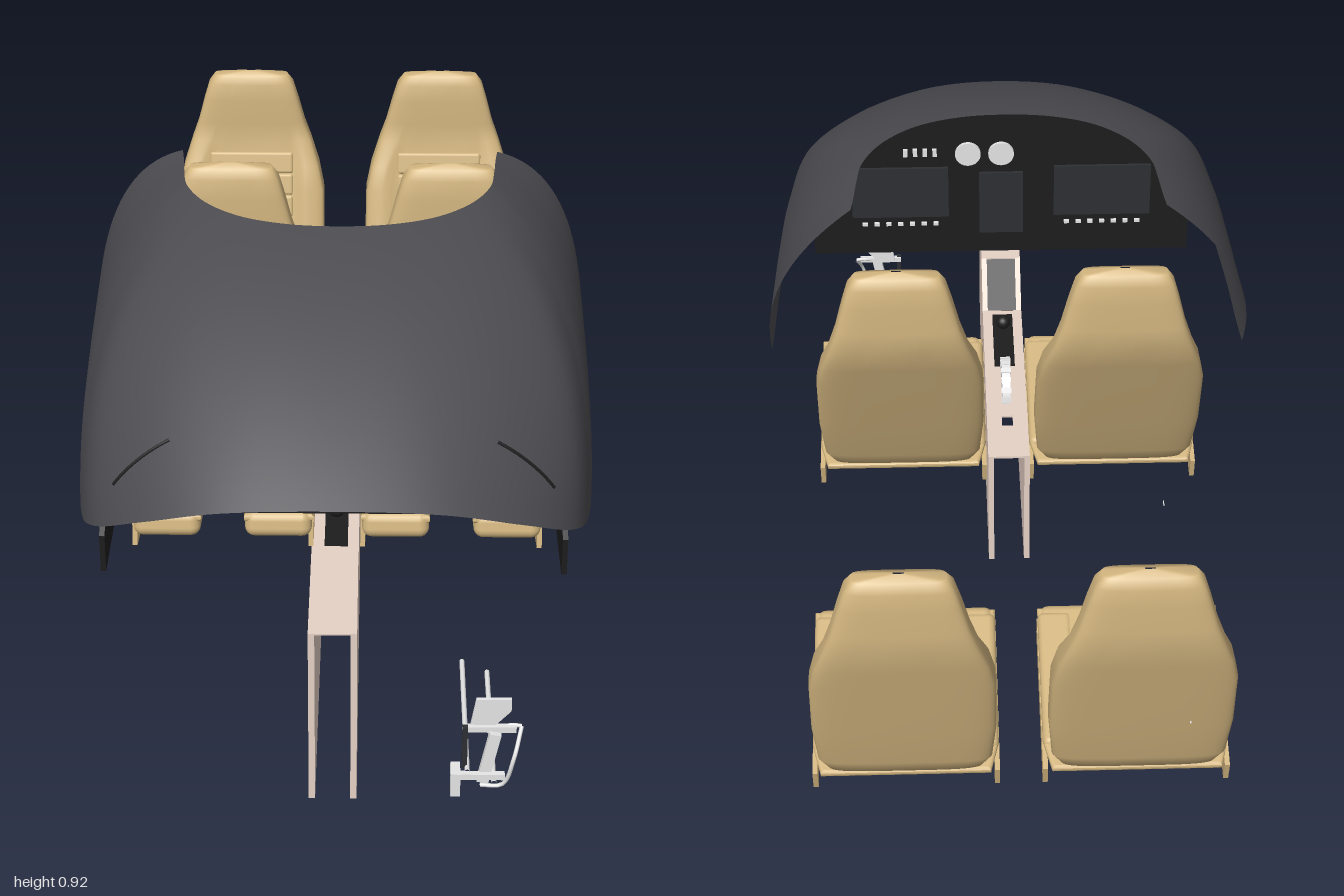
import * as THREE from 'three';
import { RoundedBoxGeometry } from 'three/addons/geometries/RoundedBoxGeometry.js';

const V = (x, y, z) => new THREE.Vector3(x, y, z);

function material(name, color, side = THREE.FrontSide) {
  const m = new THREE.MeshStandardMaterial({ color, side });
  m.name = name;
  return m;
}

// Smooth surface from a function of u, v in 0..1; wrap closes it along u
function surface(nu, nv, fn, wrap = false) {
  const pos = [], idx = [], cols = wrap ? nu : nu + 1;
  for (let j = 0; j <= nv; j++)
    for (let i = 0; i < cols; i++) pos.push(...fn(i / nu, j / nv).toArray());
  for (let j = 0; j < nv; j++)
    for (let i = 0; i < nu; i++) {
      const k = (i + 1) % cols;
      const a = j * cols + i, b = j * cols + k, c = a + cols, d = b + cols;
      idx.push(a, c, b, b, c, d);
    }
  const g = new THREE.BufferGeometry();
  g.setAttribute('position', new THREE.Float32BufferAttribute(pos, 3));
  g.setIndex(idx);
  g.computeVertexNormals();
  return g;
}

// Cowl guide stations from nose to rear arm: lower rim, bulge control, cutout rim
const STATIONS = [
  [[0, 0.65, 0.985], [0, 0.855, 0.66], [0, 0.92, 0.38]],
  [[0.2, 0.632, 0.965], [0.16, 0.85, 0.66], [0.1, 0.92, 0.37]],
  [[0.34, 0.58, 0.91], [0.33, 0.835, 0.62], [0.19, 0.92, 0.335]],
  [[0.44, 0.51, 0.81], [0.47, 0.8, 0.55], [0.26, 0.92, 0.27]],
  [[0.483, 0.455, 0.66], [0.505, 0.78, 0.4], [0.3, 0.92, 0.19]],
  [[0.5, 0.47, 0.4], [0.51, 0.79, 0.25], [0.31, 0.92, 0.12]],
  [[0.503, 0.49, 0.22], [0.515, 0.8, 0.08], [0.315, 0.92, 0.06]],
  [[0.503, 0.515, 0.1], [0.515, 0.83, -0.09], [0.32, 0.92, 0.015]],
];
const guides = [0, 1, 2].map((k) => {
  const half = STATIONS.map((s) => V(...s[k]));
  const mirrored = half.slice(1).reverse().map((p) => V(-p.x, p.y, p.z));
  return new THREE.CatmullRomCurve3([...mirrored, ...half]);
});
function cowlPoint(u, t) {
  const [a, b, c] = guides.map((g) => g.getPoint(u));
  return a.multiplyScalar((1 - t) ** 2).addScaledVector(b, 2 * t * (1 - t)).addScaledVector(c, t * t);
}

// Backrest rows: height fraction, half width, half thickness
const BACK = [
  [0, 0.01, 0.005], [0.004, 0.15, 0.028], [0.06, 0.168, 0.032], [0.25, 0.176, 0.034], [0.5, 0.174, 0.034],
  [0.6, 0.162, 0.034], [0.7, 0.143, 0.034], [0.78, 0.127, 0.034], [0.88, 0.112, 0.033],
  [0.95, 0.1, 0.03], [0.985, 0.086, 0.02], [1, 0.01, 0.002],
];

export function createModel() {
  const root = new THREE.Group();
  root.name = 'cockpitInterior';
  const grey = material('cowlGrey', 0x4c4b50, THREE.DoubleSide);
  const black = material('panelBlack', 0x1d1d1e);
  const screen = material('screenGrey', 0x2e2f33);
  const tan = material('seatTan', 0xd3b680);
  const beige = material('consoleBeige', 0xedd8cb);
  const steel = material('lightSteel', 0xe6e6e6);

  const add = (name, geo, mat, parent = root, p = [0, 0, 0], r = [0, 0, 0]) => {
    const m = new THREE.Mesh(geo, mat);
    m.name = name;
    m.position.set(...p);
    m.rotation.set(...r);
    parent.add(m);
    return m;
  };
  const group = (name, parent = root) => {
    const g = new THREE.Group();
    g.name = name;
    parent.add(g);
    return g;
  };
  const box = (w, h, d) => new THREE.BoxGeometry(w, h, d);
  const soft = (w, h, d, r) => new RoundedBoxGeometry(w, h, d, 3, r);
  const rod = (name, pts, r, mat, parent) =>
    add(name, new THREE.TubeGeometry(new THREE.CatmullRomCurve3(pts.map((p) => V(...p))), 16, r, 8), mat, parent);
  const points = (pts) => pts.map((p) => new THREE.Vector2(...p));
  const plate = (pts, depth, hole) => {
    const shape = new THREE.Shape(points(pts));
    if (hole) shape.holes.push(new THREE.Path(points(hole)));
    return new THREE.ExtrudeGeometry(shape, { depth, bevelEnabled: false });
  };
  const rect = (x, a, b) => [[-x, a], [x, a], [x, b], [-x, b]];

  // Cowl shell with its open rear cutout
  add('cowl', surface(112, 24, cowlPoint), grey);

  // Thin dark scoops on each side of the nose
  for (const s of [1, -1]) {
    const pts = [];
    for (let i = 0; i <= 8; i++) {
      const u = 0.5 + (1.75 + i * 0.1) / 14;
      let lo = 0, hi = 0.6;
      for (let k = 0; k < 20; k++) {
        const mid = (lo + hi) / 2;
        if (cowlPoint(u, mid).z > 0.805) lo = mid; else hi = mid;
      }
      const p = cowlPoint(u, lo);
      pts.push([s * p.x, p.y, p.z]);
    }
    rod('noseScoop', pts, 0.0035, black);
  }

  // Dashboard: one upright instrument panel with cheeks running forward
  const dash = group('dashboard');
  const half = [[0.43, 0.425], [0.43, 0.66], [0.38, 0.73], [0.28, 0.785], [0.12, 0.815]];
  add('instrumentPanel', plate([...half, ...half.map(([x, y]) => [-x, y]).reverse()], 0.02), black, dash, [0, 0, 0.6]);
  const cheek = [[-0.6, 0.425], [-0.6, 0.65], [-0.83, 0.5], [-0.83, 0.425]].reverse();
  for (const s of [1, -1]) {
    add('dashCheek', plate(cheek, 0.01).rotateY(Math.PI / 2), black, dash, [s * 0.425 - 0.005, 0, 0]);
    add('airVent', new THREE.CylinderGeometry(0.024, 0.024, 0.05, 24), screen, dash, [s * 0.36, 0.56, 0.64], [Math.PI / 2, 0, 0]);
    add('displayScreen', box(0.22, 0.13, 0.008), screen, dash, [s * 0.23, 0.59, 0.597]);
    for (let i = 0; i < 7; i++)
      add('panelButton', box(0.012, 0.007, 0.008), steel, dash, [s * (0.15 + i * 0.027), 0.505, 0.597]);
    for (let i = 0; i < 3; i++)
      add('panelKnob', box(0.01, 0.01, 0.012), steel, dash, [s * 0.385, 0.56 + i * 0.04, 0.597]);
  }
  for (const x of [0.075, 0])
    add('roundGauge', new THREE.CylinderGeometry(0.029, 0.029, 0.009, 32), steel, dash, [x, 0.69, 0.597], [Math.PI / 2, 0, 0]);
  add('radioStack', box(0.1, 0.16, 0.008), screen, dash, [0, 0.56, 0.597]);
  for (let i = 0; i < 4; i++)
    add('indicator', box(0.01, 0.018, 0.008), steel, dash, [0.15 + i * 0.022, 0.695, 0.597]);

  // Centre console: two side walls, caps, dark sloping switch panel
  const consoleGroup = group('centreConsole');
  const side = [[0, 0], [0, 0.29], [-0.55, 0.29], [-0.65, 0.37], [-0.95, 0.37], [-0.95, 0]].reverse();
  for (const x of [-0.045, 0.033])
    add('consoleWall', plate(side, 0.012).rotateY(Math.PI / 2), beige, consoleGroup, [x, 0, 0]);
  add('consoleFrontCap', box(0.08, 0.003, 0.3), beige, consoleGroup, [0, 0.3685, 0.8]);
  add('consoleTop', plate(rect(0.04, 0, 0.55), 0.005, rect(0.012, 0.11, 0.145)).rotateX(Math.PI / 2),
    beige, consoleGroup, [0, 0.29, 0]);
  add('quadrantPlate', box(0.046, 0.006, 0.2), black, consoleGroup, [0, 0.29, 0.43]);
  add('switchPanel', box(0.066, 0.01, 0.125), black, consoleGroup, [0, 0.325, 0.603], [-0.675, 0, 0]);
  add('trimWheel', new THREE.CylinderGeometry(0.066, 0.066, 0.018, 40), steel, consoleGroup, [0, 0.288, 0.255], [0, 0, Math.PI / 2]);
  for (let i = 0; i < 9; i++) {
    const a = (i + 0.5) / 9 * Math.PI;
    add('wheelGrip', box(0.022, 0.006, 0.012), steel, consoleGroup,
      [0, 0.288 + 0.064 * Math.sin(a), 0.255 + 0.064 * Math.cos(a)], [Math.PI / 2 - a, 0, 0]);
  }
  add('throttleKnob', new THREE.SphereGeometry(0.016, 16, 12), black, consoleGroup, [0, 0.33, 0.447]);

  // Seats: z and y of the backrest foot, height, lean and cushion tilt
  function seat(name, x, { z, y, height, lean, tilt }) {
    const g = group(name);
    g.position.x = x;
    const backAt = (f) => [y + f * height, z - lean * Math.min(f / 0.7, 1)];
    const angle = -Math.atan(lean / (0.7 * height));
    const shell = surface(48, BACK.length - 1, (u, v) => {
      const [f, hw, ht] = BACK[Math.round(v * (BACK.length - 1))];
      const a = u * 2 * Math.PI, c = Math.cos(a), s = Math.sin(a);
      const px = hw * Math.sign(c) * Math.abs(c) ** 0.45;
      let pz = ht * Math.sign(s) * Math.abs(s) ** 0.45;
      if (s > 0.02 && f > 0.03 && f < 0.66) pz += 0.015 * THREE.MathUtils.smoothstep(Math.abs(px), 0.1, 0.125);
      const [cy, cz] = backAt(f);
      return V(px, cy, cz + pz);
    }, true);
    add('backrest', shell, tan, g);
    for (let i = 0; i < 7; i++) {
      const [py, pz] = backAt(0.07 + i * 0.09);
      add('backPleat', soft(0.2, 0.052, 0.02, 0.007), tan, g, [0, py, pz + 0.028], [angle, 0, 0]);
    }

    // Thin cushion with a notch in its front edge
    const cushion = group('cushion', g);
    cushion.position.set(0, y - 0.015, z - 0.01);
    cushion.rotation.x = -tilt;
    const plan = points([[-0.16, 0], [0.16, 0], [0.175, 0.06], [0.175, 0.36], [0.05, 0.365], [0.05, 0.26],
      [-0.05, 0.26], [-0.05, 0.365], [-0.175, 0.36], [-0.175, 0.06]]);
    add('cushionBase', new THREE.ExtrudeGeometry(new THREE.Shape(plan),
      { depth: 0.004, bevelThickness: 0.006, bevelSize: 0.007, bevelSegments: 3 }).rotateX(Math.PI / 2), tan, cushion);
    for (let i = 0; i < 5; i++)
      add('cushionPleat', soft(0.2, 0.032, 0.043, 0.008), tan, cushion, [0, -0.002, 0.05 + i * 0.046]);
    for (const s of [1, -1]) {
      add('sideBolster', soft(0.07, 0.032, 0.31, 0.014), tan, cushion, [s * 0.147, -0.002, 0.2]);
      add('frontRoll', soft(0.135, 0.055, 0.1, 0.02), tan, cushion, [s * 0.112, -0.016, 0.325]);
      add('sideSkirt', box(0.01, 0.05, 0.35), tan, cushion, [s * 0.178, -0.042, 0.18]);
    }
  }
  for (const s of [1, -1]) {
    seat('frontSeat', s * 0.23, { z: 0.075, y: 0.24, height: 0.605, lean: 0.173, tilt: 0.2 });
    seat('rearSeat', s * 0.225, { z: -0.795, y: 0.17, height: 0.568, lean: 0.1, tilt: 0.26 });
  }

  // Pedal assembly
  const pedals = group('pedals');
  rod('upperPushRod', [[0.25, 0.087, 0.98], [0.25, 0.087, 0.8], [0.25, 0.087, 0.62]], 0.005, steel, pedals);
  rod('lowerPushRod', [[0.3, 0.062, 0.98], [0.3, 0.062, 0.8], [0.3, 0.062, 0.62]], 0.005, steel, pedals);
  add('pivotBracket', box(0.018, 0.05, 0.04), steel, pedals, [0.228, 0.07, 0.98]);
  add('hingeColumn', box(0.01, 0.09, 0.012), screen, pedals, [0.245, 0.13, 0.96]);
  add('crossBar', box(0.1, 0.012, 0.012), steel, pedals, [0.29, 0.168, 0.955]);
  add('lowerBar', box(0.1, 0.012, 0.012), steel, pedals, [0.27, 0.075, 0.975]);
  add('pedalArm', box(0.022, 0.11, 0.014), steel, pedals, [0.29, 0.11, 0.965], [0, 0, -0.2]);
  const pad = plate([[0.255, 0.172], [0.3, 0.172], [0.33, 0.205], [0.33, 0.23], [0.265, 0.23]], 0.008);
  add('footPad', pad, steel, pedals, [0, 0, 0.945]);
  rod('pedalLink', [[0.35, 0.17, 0.95], [0.335, 0.12, 0.985], [0.315, 0.055, 0.975], [0.275, 0.05, 0.97]], 0.004, steel, pedals);
  rod('linkTop', [[0.3, 0.165, 0.955], [0.33, 0.172, 0.95], [0.35, 0.17, 0.95]], 0.004, steel, pedals);

  // Tiny harness anchor points behind the seats
  add('harnessAnchor', box(0.002, 0.002, 0.016), steel, root, [-0.3, 0.455, -0.37]);
  add('harnessAnchor', box(0.003, 0.002, 0.004), steel, root, [-0.3, 0.455, -0.998]);
  return root;
}
